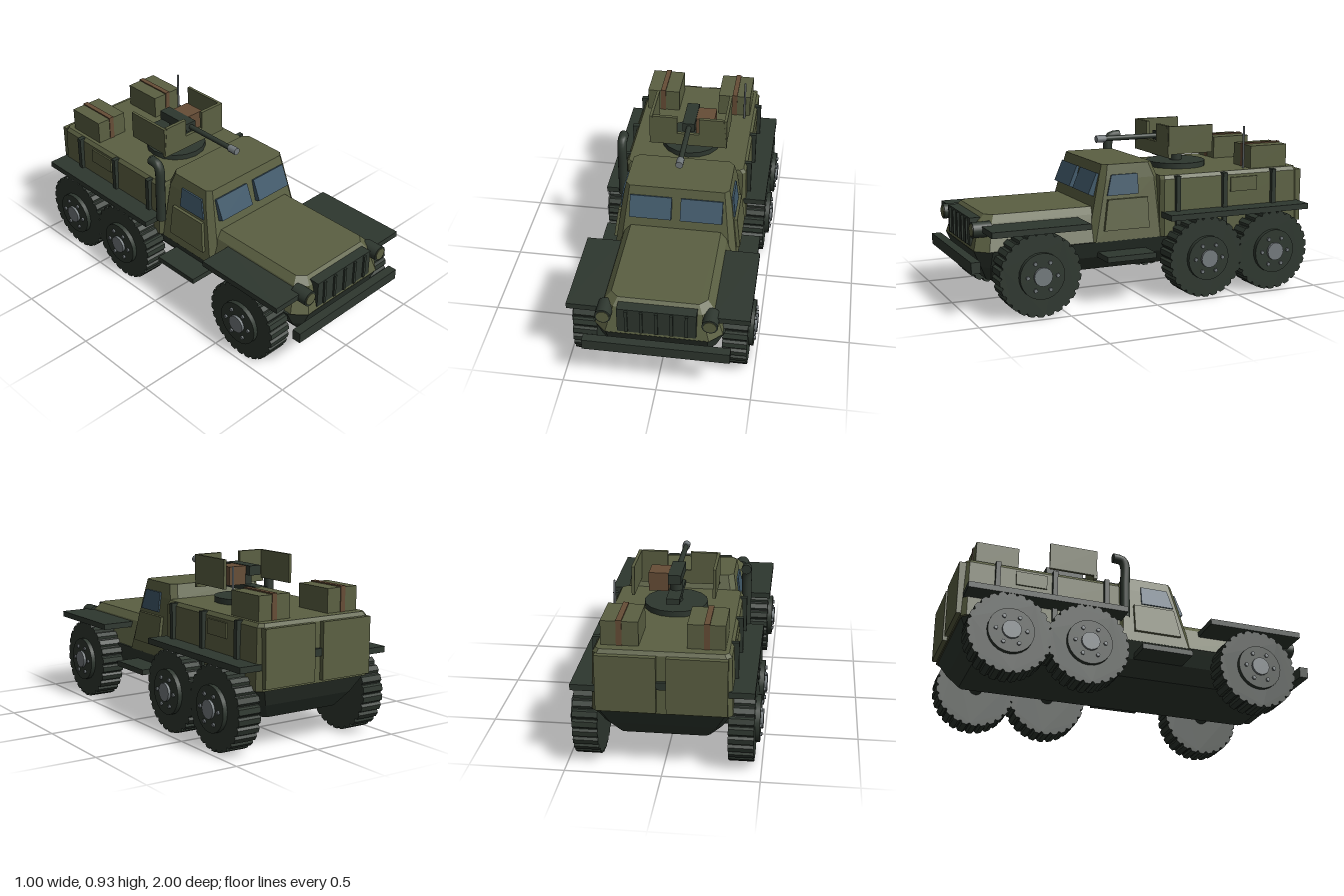
import * as THREE from 'three';

const material = (name, color) => {
  const m = new THREE.MeshStandardMaterial({ color });
  m.name = name;
  return m;
};

export function createModel() {
  const olive = material('olive paint', 0x5b6042);
  const dark = material('dark green metal', 0x2e372f);
  const glass = material('blue glass', 0x40596a);
  const brown = material('brown leather', 0x664d36);
  const steel = material('grey steel', 0x737a7d);
  const root = new THREE.Group();
  root.name = 'armouredTruck';

  const add = (name, geo, mat, x = 0, y = 0, z = 0, parent = root) => {
    const m = new THREE.Mesh(geo, mat);
    m.name = name;
    m.position.set(x, y, z);
    parent.add(m);
    return m;
  };

  // Box given by its minimum and maximum on each axis
  const box = (name, mat, x0, x1, y0, y1, z0, z1) =>
    add(name, new THREE.BoxGeometry(Math.abs(x1 - x0), y1 - y0, z1 - z0), mat, (x0 + x1) / 2, (y0 + y1) / 2, (z0 + z1) / 2);

  // Cylinder along the x, y or z axis
  const cyl = (name, mat, axis, r, len, x, y, z, sides = 16, parent = root) => {
    const g = new THREE.CylinderGeometry(r, r, len, sides);
    if (axis === 'x') g.rotateZ(-Math.PI / 2);
    if (axis === 'z') g.rotateX(Math.PI / 2);
    return add(name, g, mat, x, y, z, parent);
  };

  // Rectangle with cut corners, seen from above
  const outline = (y, x, zb, zf, cb, cf) => [
    [x - cf, zf], [x, zf - cf], [x, zb + cb], [x - cb, zb],
    [cb - x, zb], [-x, zb + cb], [-x, zf - cf], [cf - x, zf],
  ].map(([px, pz]) => [px, y, pz]);

  // Faceted hull between stacked outlines
  const hull = (name, mat, ...rings) => {
    const p = [];
    const tri = (...v) => v.forEach((q) => p.push(...q));
    for (let k = 0; k + 1 < rings.length; k++) {
      const a = rings[k], b = rings[k + 1];
      a.forEach((_, i) => {
        const j = (i + 1) % a.length;
        tri(a[i], a[j], b[j]);
        tri(a[i], b[j], b[i]);
      });
    }
    const lo = rings[0], hi = rings[rings.length - 1];
    for (let i = 1; i + 1 < lo.length; i++) {
      tri(lo[0], lo[i + 1], lo[i]);
      tri(hi[0], hi[i], hi[i + 1]);
    }
    const g = new THREE.BufferGeometry();
    g.setAttribute('position', new THREE.Float32BufferAttribute(p, 3));
    g.computeVertexNormals();
    return add(name, g, mat);
  };

  // Thin plate on a sloping side wall; points are [z, y]
  const sidePlate = (name, mat, s, pts, wall, depth) => {
    const shape = new THREE.Shape(pts.map(([z, y]) => new THREE.Vector2(-s * z, y)));
    const g = new THREE.ExtrudeGeometry(shape, { depth, bevelEnabled: false });
    const a = g.attributes.position;
    for (let i = 0; i < a.count; i++) a.setZ(i, a.getZ(i) + wall(a.getY(i)));
    g.computeVertexNormals();
    add(name, g, mat).rotation.y = s * Math.PI / 2;
  };

  // Main hulls
  hull('chassis', dark, outline(0.17, 0.235, -0.86, 0.87, 0.02, 0.02), outline(0.25, 0.3, -0.92, 0.91, 0.03, 0.04),
    outline(0.342, 0.345, -0.97, 0.95, 0.03, 0.08));
  hull('hood', olive, outline(0.34, 0.335, 0.2, 0.95, 0.01, 0.065), outline(0.485, 0.285, 0.2, 0.91, 0.01, 0.055),
    outline(0.522, 0.25, 0.2, 0.875, 0.01, 0.04));
  hull('cab', olive, outline(0.34, 0.345, -0.12, 0.328, 0.03, 0.035), outline(0.67, 0.3, -0.1, 0.246, 0.03, 0.03),
    outline(0.75, 0.285, -0.07, 0.225, 0.03, 0.025));
  hull('rearBody', olive, outline(0.34, 0.355, -0.975, -0.09, 0.025, 0.02), outline(0.655, 0.345, -0.972, -0.095, 0.025, 0.02),
    outline(0.675, 0.33, -0.96, -0.1, 0.02, 0.02));

  // Nose
  box('bumper', dark, -0.385, 0.385, 0.25, 0.31, 0.95, 1);
  box('grille', dark, -0.205, 0.205, 0.355, 0.505, 0.86, 0.95);
  for (let i = -2; i <= 2; i++) box('grilleBar', dark, i * 0.078 - 0.008, i * 0.078 + 0.008, 0.362, 0.498, 0.94, 0.96);

  // Windscreen panes
  for (const s of [-1, 1])
    add('windscreen', new THREE.BoxGeometry(0.23, 0.125, 0.035), glass, s * 0.14, 0.64, 0.26).rotation.x = -0.4;

  const cabWall = (y) => 0.345 - 0.137 * (y - 0.34);
  const bodyWall = (y) => 0.355 - 0.032 * (y - 0.34);
  for (const s of [-1, 1]) {
    cyl('headlight', dark, 'z', 0.042, 0.1, s * 0.275, 0.455, 0.912, 20);
    cyl('headlightLens', olive, 'z', 0.033, 0.006, s * 0.275, 0.455, 0.963, 20);

    // Doors and panels
    sidePlate('door', olive, s, [[0.245, 0.4], [0.215, 0.565], [-0.02, 0.565], [-0.02, 0.4]], cabWall, 0.018);
    sidePlate('sideWindow', glass, s, [[0.215, 0.585], [0.185, 0.695], [0.03, 0.695], [0.03, 0.585]], cabWall, 0.009);
    sidePlate('sidePanel', olive, s, [[-0.525, 0.56], [-0.525, 0.64], [-0.695, 0.64], [-0.695, 0.56]], bodyWall, 0.009);
    for (const z of [-0.19, -0.482, -0.797]) box('bodyRib', dark, s * 0.33, s * 0.37, 0.345, 0.672, z - 0.013, z + 0.013);
    box('rearDoor', olive, s * 0.025, s * 0.33, 0.355, 0.655, -1, -0.96);

    // Mudguards and step
    box('frontMudguard', dark, s * 0.285, s * 0.475, 0.445, 0.477, 0.375, 0.915);
    box('rearMudguard', dark, s * 0.33, s * 0.462, 0.445, 0.477, -0.97, -0.1);
    box('step', dark, s * 0.29, s * 0.45, 0.25, 0.28, -0.015, 0.27);

    // Roof cargo
    box('cargoBox', olive, s * 0.12, s * 0.31, 0.67, 0.803, -0.91, -0.675);
    box('cargoStrap', brown, s * 0.203, s * 0.232, 0.67, 0.81, -0.914, -0.671);
  }
  box('rearLatch', dark, -0.035, 0.035, 0.48, 0.52, -0.99, -0.96);

  // Wheels with a toothed tread
  const teeth = 26, rim = [];
  for (let i = 0; i < teeth; i++) {
    for (const [f, r] of [[0, 0.212], [0.2, 0.225], [0.72, 0.225], [0.9, 0.212]]) {
      const a = (i + f) / teeth * Math.PI * 2;
      rim.push(new THREE.Vector2(Math.cos(a) * r, Math.sin(a) * r));
    }
  }
  const tyre = new THREE.ExtrudeGeometry(new THREE.Shape(rim), { depth: 0.13, bevelEnabled: false });
  tyre.rotateY(Math.PI / 2);
  for (const z of [0.65, -0.32, -0.74]) {
    cyl('axle', dark, 'x', 0.038, 0.68, 0, 0.225, z);
    for (const s of [-1, 1]) {
      const wheel = new THREE.Group();
      wheel.name = 'wheel';
      wheel.position.set(0, 0.225, z);
      wheel.rotation.y = s > 0 ? 0 : Math.PI;
      root.add(wheel);
      add('tyre', tyre, dark, 0.33, 0, 0, wheel);
      cyl('wheelDisc', dark, 'x', 0.123, 0.03, 0.47, 0, 0, 24, wheel);
      cyl('hub', steel, 'x', 0.05, 0.03, 0.484, 0, 0, 16, wheel);
      for (let i = 0; i < 6; i++) {
        const a = (i + 0.5) / 6 * Math.PI * 2;
        cyl('wheelBolt', steel, 'x', 0.011, 0.02, 0.485, Math.cos(a) * 0.082, Math.sin(a) * 0.082, 6, wheel);
      }
    }
  }

  // Turret ring and gun
  const tz = -0.355;
  cyl('turretRing', dark, 'y', 0.17, 0.035, 0, 0.688, tz, 16);
  cyl('turretPost', dark, 'y', 0.035, 0.13, 0, 0.76, tz, 12);
  box('gunCradle', dark, -0.035, 0.035, 0.74, 0.77, -0.51, -0.22);
  box('gunBody', dark, -0.036, 0.034, 0.825, 0.877, -0.445, -0.225);
  cyl('gunBarrel', dark, 'z', 0.015, 0.35, 0, 0.85, -0.06, 12);
  cyl('muzzle', steel, 'z', 0.021, 0.055, 0, 0.85, 0.118, 10);
  box('ammunitionBox', brown, 0.035, 0.14, 0.775, 0.875, -0.41, -0.285);

  // Notched gun shield with side plates
  const shield = new THREE.Shape([[-0.222, 0.75], [0.222, 0.75], [0.203, 0.928], [0.062, 0.928], [0.062, 0.825],
    [-0.062, 0.825], [-0.062, 0.928], [-0.203, 0.928]].map((p) => new THREE.Vector2(...p)));
  add('gunShield', new THREE.ExtrudeGeometry(shield, { depth: 0.02, bevelEnabled: false }), olive, 0, 0, -0.218);
  for (const s of [-1, 1]) box('shieldSide', olive, s * 0.205, s * 0.221, 0.77, 0.927, -0.475, -0.2);

  // Exhaust stack with a rearward elbow
  const path = new THREE.CatmullRomCurve3([[0.46, -0.085], [0.65, -0.085], [0.78, -0.085], [0.81, -0.1], [0.818, -0.15]]
    .map(([y, z]) => new THREE.Vector3(-0.36, y, z)));
  add('exhaust', new THREE.TubeGeometry(path, 24, 0.027, 14), dark);
  cyl('exhaustEnd', dark, 'z', 0.027, 0.01, -0.36, 0.818, -0.15, 14);

  cyl('antenna', steel, 'y', 0.006, 0.25, 0.28, 0.79, -0.645, 8);
  return root;
}
